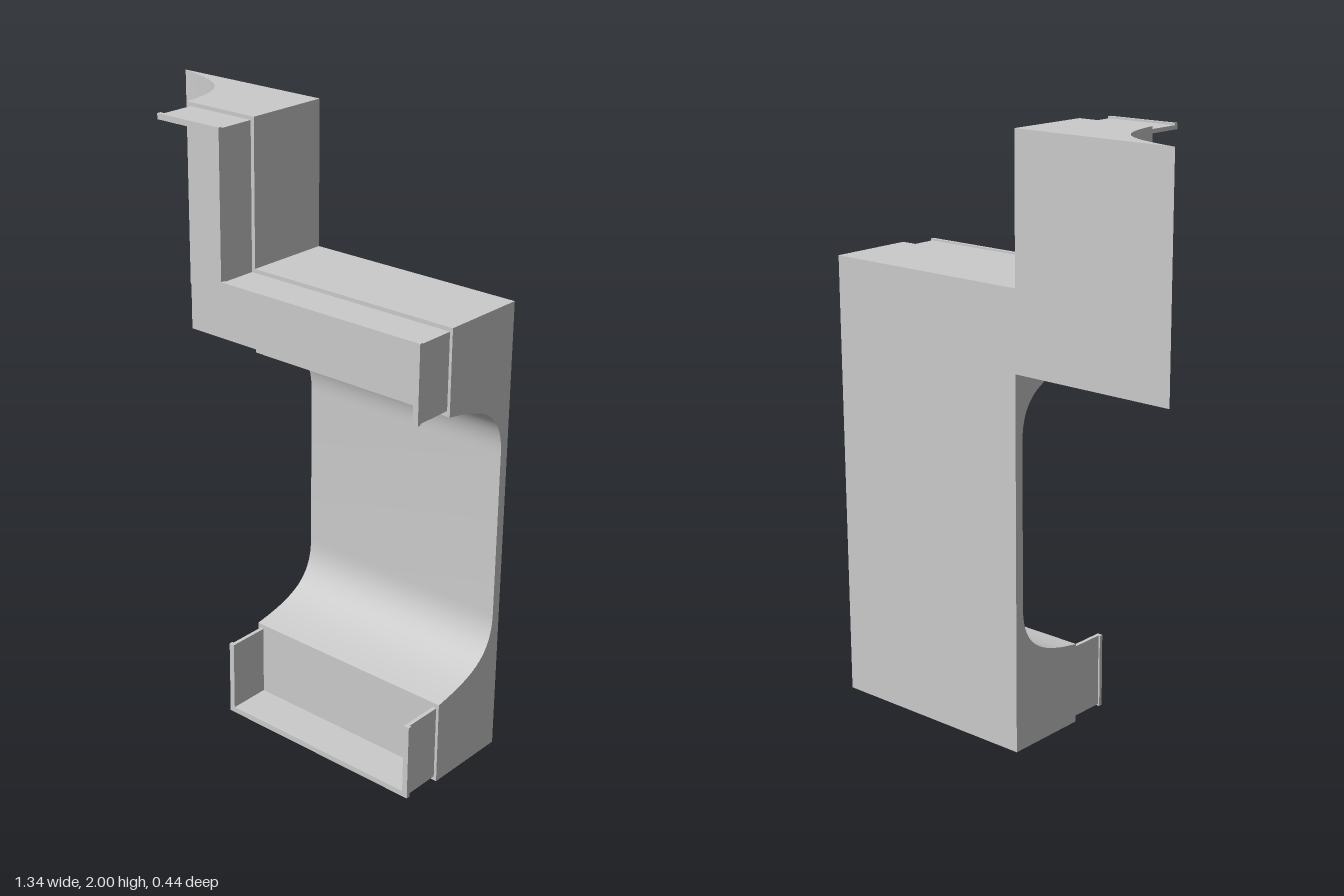
import * as THREE from 'three';
import { toCreasedNormals } from 'three/addons/utils/BufferGeometryUtils.js';

const BACK = -0.22, FRONT = 0.077, RIM = 0.22;
const material = new THREE.MeshStandardMaterial({ color: 0xcccccc });

function part(name, geometry) {
  const mesh = new THREE.Mesh(toCreasedNormals(geometry, 0.5), material);
  mesh.name = name;
  return mesh;
}

// Shift an open right-angled polyline sideways (positive = to its left).
function offsetPath(path, d) {
  const normals = path.slice(1).map((p, i) => {
    const dx = p[0] - path[i][0], dy = p[1] - path[i][1], l = Math.hypot(dx, dy);
    return [-dy / l, dx / l];
  });
  return path.map(([x, y], i) => {
    const near = [normals[i - 1], normals[i]].filter(Boolean);
    return near.reduce(([px, py], n) => [px + n[0] * d, py + n[1] * d], [x, y]);
  });
}

// Thin wall following a path, standing between two depths.
function wall(name, path, outer, inner, z0, z1) {
  const outline = [...offsetPath(path, outer), ...offsetPath(path, inner).reverse()];
  const shape = new THREE.Shape(outline.map(([x, y]) => new THREE.Vector2(x, y)));
  const geometry = new THREE.ExtrudeGeometry(shape, { depth: z1 - z0, bevelEnabled: false });
  geometry.translate(0, 0, z0);
  return part(name, geometry);
}

// Open-sided rim: straight wall with a small projecting lip.
function rim(name, path) {
  const group = new THREE.Group();
  group.name = name;
  group.add(
    wall('rimWall', path, 0, 0.013, FRONT, RIM),
    wall('rimLip', path, -0.006, 0.013, 0.207, RIM),
  );
  return group;
}

export function createModel() {
  const model = new THREE.Group();

  // Main body: C-shaped side profile (shape x is -z), swept across the width.
  const side = new THREE.Shape();
  side.moveTo(-FRONT, 0);
  side.lineTo(-BACK, 0);
  side.lineTo(-BACK, 1.525);
  side.lineTo(-FRONT, 1.525);
  side.lineTo(-FRONT, 1.25);
  side.bezierCurveTo(0.085, 1.225, 0.188, 1.19, 0.188, 1.04);
  side.lineTo(0.188, 0.49);
  side.bezierCurveTo(0.188, 0.34, 0.085, 0.305, -FRONT, 0.28);
  const body = new THREE.ExtrudeGeometry(side, { depth: 0.76, bevelEnabled: false, curveSegments: 20 });
  body.rotateY(Math.PI / 2).translate(-0.09, 0, 0);
  model.add(part('mainBody', body));

  // Upper wing: plan profile (shape y is -z), swept upward.
  const plan = new THREE.Shape();
  plan.moveTo(-0.67, -BACK);
  plan.bezierCurveTo(-0.46, 0.165, -0.395, 0.13, -0.368, -FRONT);
  plan.lineTo(-0.09, -FRONT);
  plan.lineTo(-0.09, -BACK);
  const wing = new THREE.ExtrudeGeometry(plan, { depth: 0.74, bevelEnabled: false, curveSegments: 20 });
  wing.rotateX(-Math.PI / 2).translate(0, 1.26, 0);
  model.add(part('upperWing', wing));

  // Rims, open toward the hollow.
  model.add(rim('lowerRim', [[-0.08, 0.265], [-0.08, 0.014], [0.66, 0.014], [0.66, 0.265]]));
  model.add(rim('upperRim', [[0.66, 1.268], [0.66, 1.512], [-0.103, 1.512], [-0.103, 1.988], [-0.352, 1.988]]));

  return model;
}
